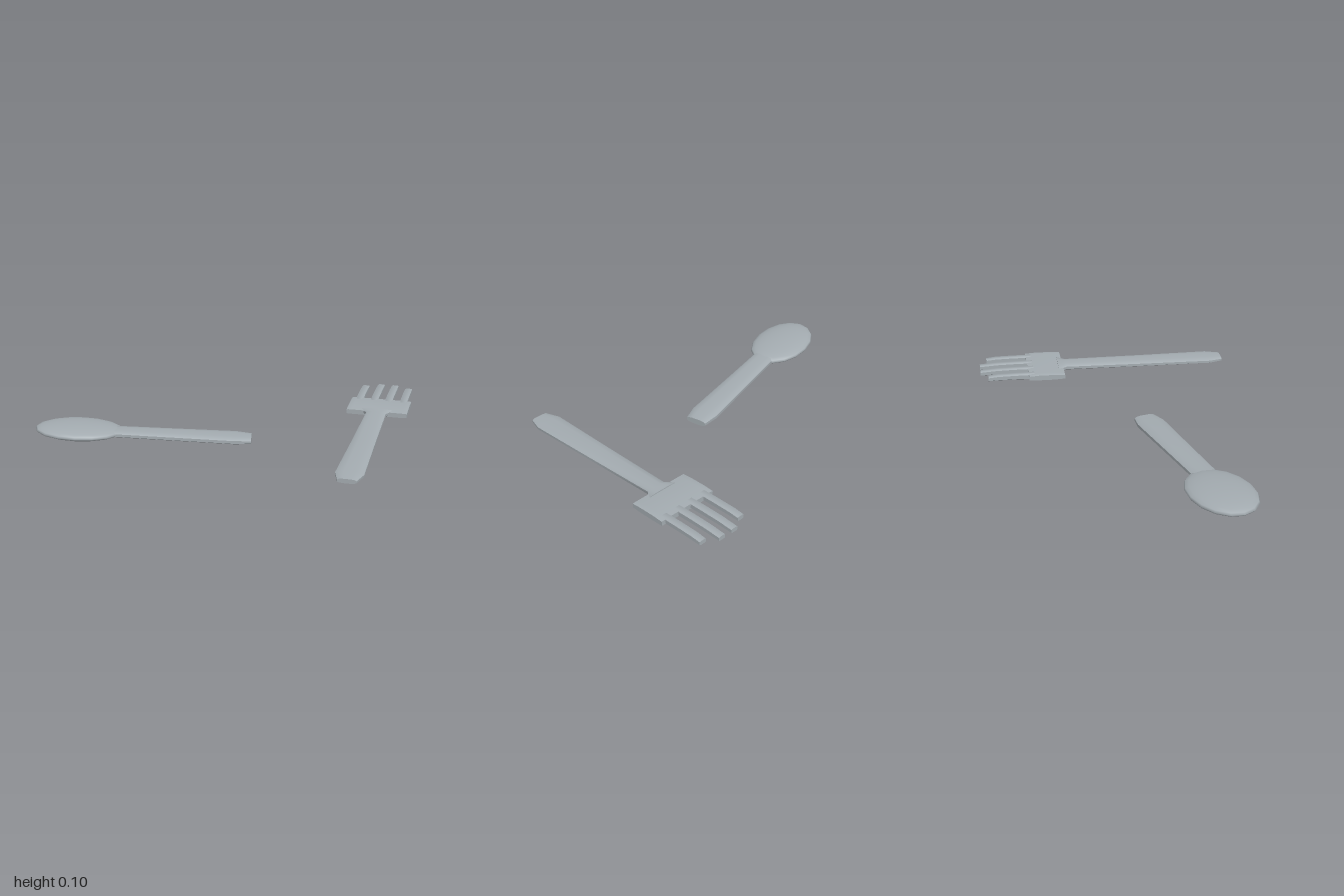
import * as THREE from 'three';
import { toCreasedNormals } from 'three/addons/utils/BufferGeometryUtils.js';

// Closed loft along local x. Each section: [x, centreY, halfWidth, halfHeight].
// round = 1 gives oval sections, small values give boxy ones.
function loft(sections, round, sides = 12, crease = 0.8) {
  const pos = [], idx = [];
  const power = (c) => Math.sign(c) * Math.pow(Math.abs(c) < 1e-6 ? 0 : Math.abs(c), round);
  for (const [x, y, w, h] of sections) {
    for (let j = 0; j < sides; j++) {
      const t = ((j + 0.5) / sides) * Math.PI * 2;
      pos.push(x, y + h * power(Math.sin(t)), w * power(Math.cos(t)));
    }
  }
  const last = sections.length - 1;
  for (let i = 0; i < last; i++) {
    for (let j = 0; j < sides; j++) {
      const k = (j + 1) % sides;
      const a = i * sides + j, b = a + sides, d = i * sides + k, c = d + sides;
      idx.push(a, b, c, a, c, d);
    }
  }
  // End caps
  for (let j = 1; j < sides - 1; j++) {
    idx.push(0, j, j + 1);
    idx.push(last * sides, last * sides + j + 1, last * sides + j);
  }
  const g = new THREE.BufferGeometry();
  g.setAttribute('position', new THREE.Float32BufferAttribute(pos, 3));
  g.setIndex(idx);
  return toCreasedNormals(g, crease);
}

export function createModel() {
  const steel = new THREE.MeshStandardMaterial({ color: 0xa3abb0 });
  steel.name = 'steel';

  const add = (parent, name, geometry) => {
    const mesh = new THREE.Mesh(geometry, steel);
    mesh.name = name;
    parent.add(mesh);
    return mesh;
  };

  // Spoon, lying with the handle tip on the ground
  const spoon = new THREE.Group();
  spoon.name = 'spoon';
  spoon.position.set(-0.792, 0, -0.53);
  spoon.rotation.y = -0.49;

  const bowl = add(spoon, 'spoonBowl', new THREE.SphereGeometry(1, 16, 12));
  bowl.scale.set(0.222, 0.032, 0.146);
  bowl.position.y = 0.056;
  bowl.rotation.z = -0.044;

  const spoonHandle = add(spoon, 'spoonHandle', loft([
    [0.165, 0.049, 0.057, 0.016],
    [0.45, 0.036, 0.062, 0.017],
    [0.79, 0.021, 0.069, 0.018],
    [0.871, 0.017, 0.054, 0.015],
  ], 0.65));
  spoonHandle.position.z = 0.008;

  // Fork, origin at the middle of its head
  const fork = new THREE.Group();
  fork.name = 'fork';
  fork.position.set(0.695, 0, -0.064);
  fork.rotation.y = 0.861;

  // Handle, flaring out where it meets the head
  add(fork, 'forkHandle', loft([
    [-0.947, 0.065, 0.046, 0.011],
    [-0.875, 0.067, 0.069, 0.014],
    [-0.5, 0.074, 0.06, 0.015],
    [-0.11, 0.083, 0.052, 0.016],
    [-0.068, 0.085, 0.09, 0.015],
  ], 0.65));

  // Head, a gently arched slab
  add(fork, 'forkHead', loft([
    [-0.092, 0.08, 0.158, 0.012],
    [-0.04, 0.081, 0.158, 0.016],
    [0.04, 0.083, 0.158, 0.016],
    [0.092, 0.083, 0.158, 0.013],
  ], 0.15));

  // Four tines, the middle pair longer
  for (const side of [-1, 1]) {
    for (const [offset, tip] of [[0.038, 0.337], [0.117, 0.3]]) {
      const tine = add(fork, 'forkTine', loft([
        [0.06, 0.083, 0.02, 0.015],
        [0.16, 0.086, 0.02, 0.014],
        [0.25, 0.087, 0.02, 0.013],
        [tip, 0.084, 0.019, 0.011],
      ], 0.4, 8));
      tine.position.z = side * offset;
    }
  }

  const model = new THREE.Group();
  model.name = 'cutlery';
  model.add(spoon, fork);
  return model;
}
